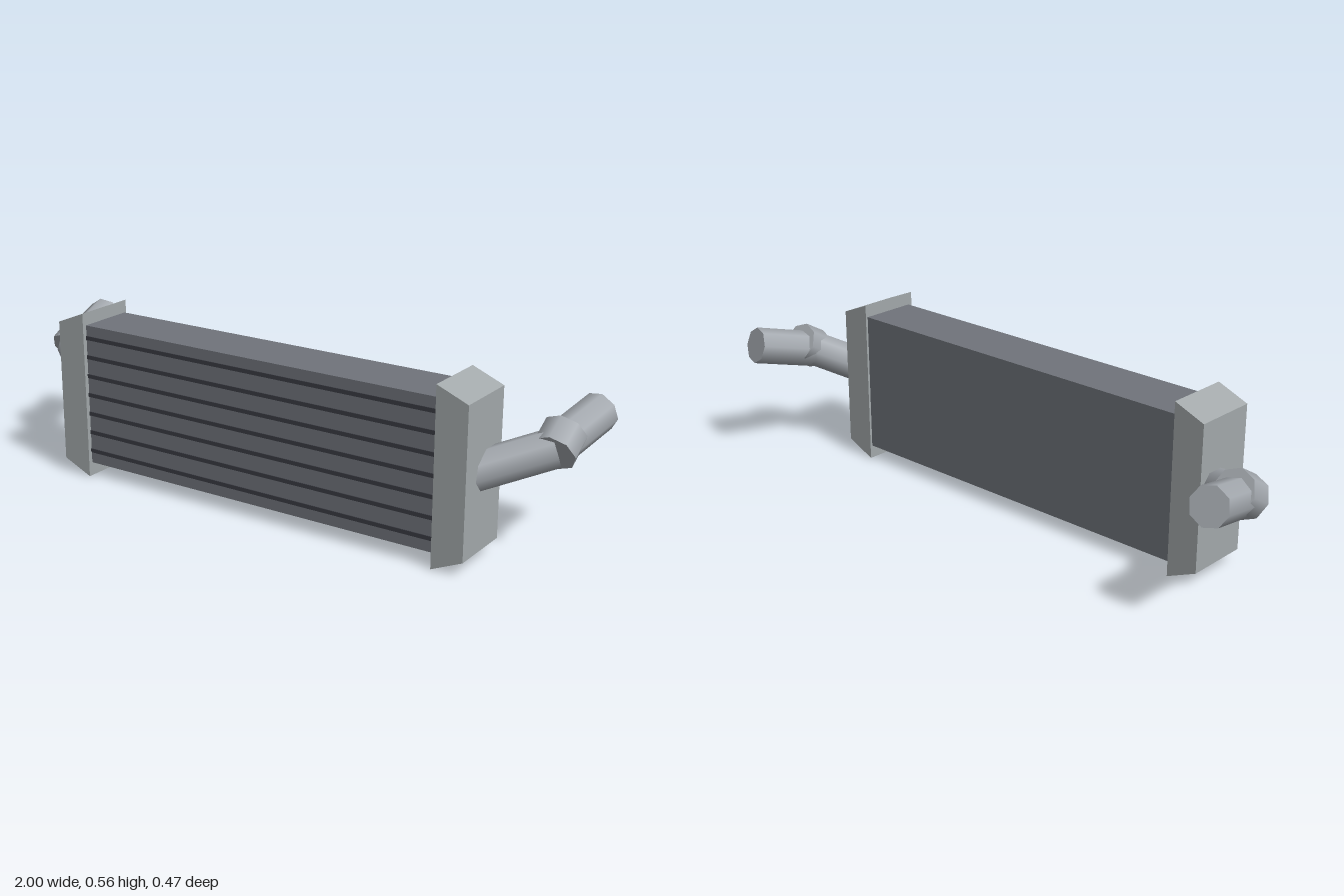
import * as THREE from 'three';

const mat = (name, color) => {
  const m = new THREE.MeshStandardMaterial({ color });
  m.name = name;
  return m;
};

export function createModel() {
  const group = new THREE.Group();
  const coreGrey = mat('core grey', 0x70747b);
  const finDark = mat('fin dark', 0x3a3c43);
  const tankGrey = mat('tank grey', 0xa3a9ab);
  const pipeGrey = mat('pipe grey', 0xa5aab0);

  const add = (name, geometry, material) => {
    const mesh = new THREE.Mesh(geometry, material);
    mesh.name = name;
    group.add(mesh);
    return mesh;
  };

  // Eight-sided pipe section between two points
  const pipe = (name, a, b, radius) => {
    const dir = b.clone().sub(a);
    const mesh = add(name, new THREE.CylinderGeometry(radius, radius, dir.length(), 8), pipeGrey);
    mesh.position.copy(a).add(b).multiplyScalar(0.5);
    mesh.quaternion.setFromUnitVectors(new THREE.Vector3(0, 1, 0), dir.normalize());
  };

  // Core block
  add('core', new THREE.BoxGeometry(1.29, 0.47, 0.19), coreGrey).position.set(0, 0.28, 0.125);

  // Dark gaps between the cooling rows
  for (let i = 0; i < 7; i++) {
    add('coolingGap', new THREE.BoxGeometry(1.29, 0.013, 0.006), finDark)
      .position.set(0, 0.088 + i * 0.0643, 0.22);
  }

  for (const s of [1, -1]) {
    const side = s > 0 ? 'left' : 'right';
    const at = (x, y, z) => new THREE.Vector3(s * x, y, z);

    // End tank, tapering towards its outer face
    const profile = new THREE.Shape([
      [0.643, 0], [0.745, 0.045], [0.745, 0.515], [0.643, 0.557],
    ].map(([x, y]) => new THREE.Vector2(s * x, y)));
    const tank = new THREE.ExtrudeGeometry(profile, { depth: 0.213, bevelEnabled: false });
    add(side + 'Tank', tank.translate(0, 0, 0.022), tankGrey);

    // Inlet pipe, collar and outer pipe
    pipe(side + 'InnerPipe', at(0.70, 0.275, 0.133), at(0.9, 0.352, 0), 0.06);
    pipe(side + 'Collar', at(0.905, 0.343, 0.02), at(0.905, 0.386, -0.053), 0.068);
    pipe(side + 'OuterPipe', at(0.899, 0.354, -0.015), at(0.94, 0.408, -0.217), 0.061);
  }
  return group;
}
